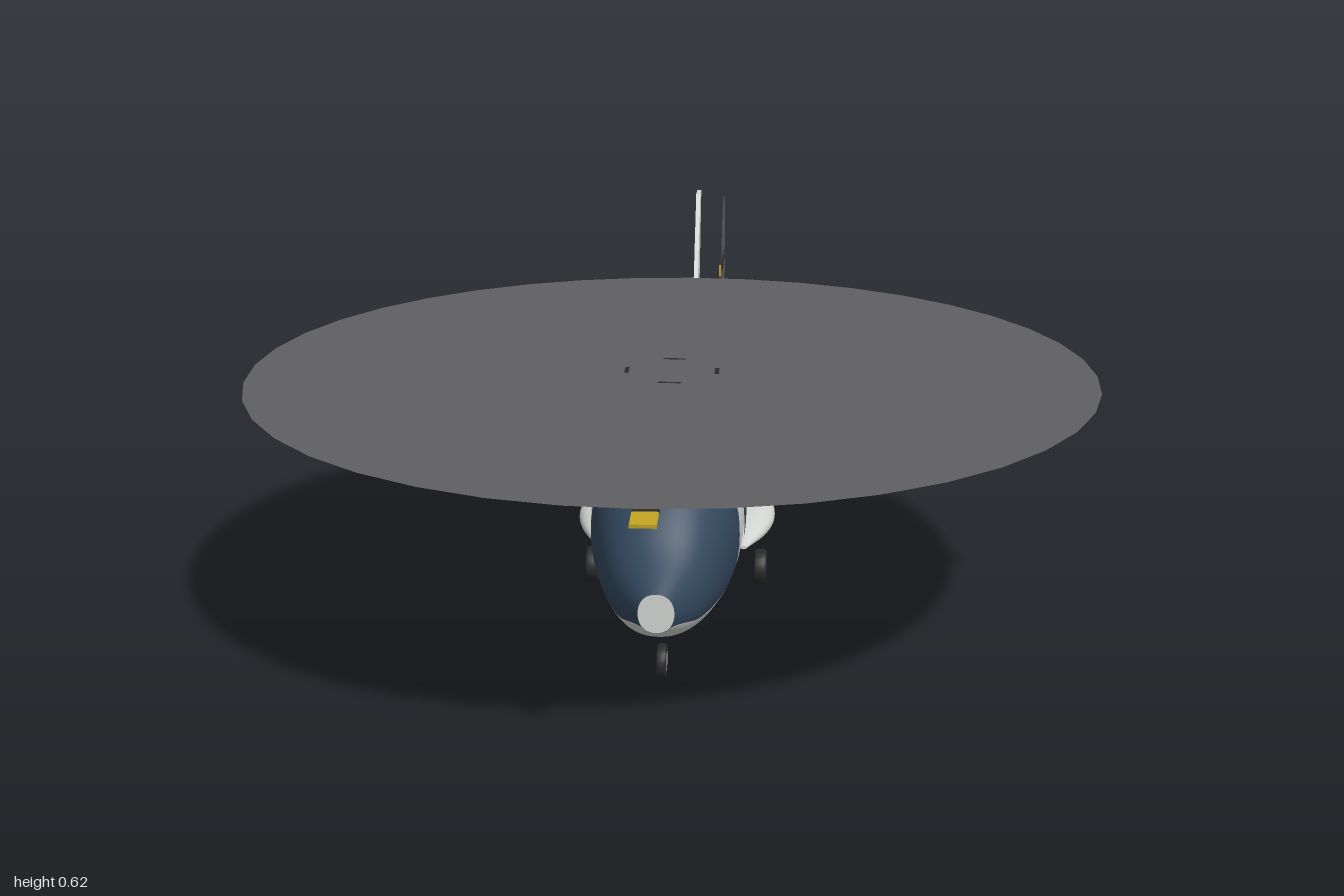
import * as THREE from 'three';
import { ParametricGeometry } from 'three/addons/geometries/ParametricGeometry.js';

const mat = (name, color, side = THREE.FrontSide) => {
  const m = new THREE.MeshStandardMaterial({ color, side });
  m.name = name;
  return m;
};

export function createModel() {
  const model = new THREE.Group();
  model.name = 'helicopter';
  const paint = mat('light grey paint', 0xd4d6d2);
  const glass = mat('dark blue glass', 0x33475d);
  const blur = mat('rotor disc grey', 0x606062, THREE.DoubleSide);
  const black = mat('black', 0x2a2a2a);
  const yellow = mat('tip yellow', 0xc4a422);

  const add = (name, geometry, material, parent = model) => {
    const mesh = new THREE.Mesh(geometry, material);
    mesh.name = name;
    parent.add(mesh);
    return mesh;
  };

  // A smooth body through cross-sections: rows of [z, bottom, top, halfWidth, centreX]
  const makeBody = (rows, power = 2) => {
    const interp = new THREE.CubicInterpolant(
      rows.map(r => r[0]), rows.flatMap(r => [r[1], r[2], r[3], r[4] ?? 0]), 4, new Float64Array(4));
    const root = s => Math.sign(s) * Math.abs(s) ** (2 / power);
    const at = z => {
      const [y0, y1, w, cx] = interp.evaluate(z);
      return { mid: (y0 + y1) / 2, h: (y1 - y0) / 2, w, cx };
    };
    return {
      z0: rows[0][0], z1: rows[rows.length - 1][0], at,
      point(z, a, out) {
        const s = at(z);
        return out.set(s.cx + s.w * root(Math.cos(a)), s.mid + s.h * root(Math.sin(a)), z);
      },
      // angle on the +x side where the section reaches height y
      angleAt(z, y) {
        const s = at(z);
        const k = THREE.MathUtils.clamp((y - s.mid) / s.h, -1, 1);
        return Math.asin(Math.sign(k) * Math.abs(k) ** (power / 2));
      },
    };
  };
  const skin = (body, za, zb, from, to, nu = 40, nv = 24) =>
    new ParametricGeometry((u, v, out) => {
      const z = za + (zb - za) * v;
      body.point(z, from(z) + (to(z) - from(z)) * u, out);
    }, nu, nv);
  const fullSkin = (body, za = body.z0, zb = body.z1) =>
    skin(body, za, zb, () => 0, () => Math.PI * 2);
  const cap = (body, z, front) =>
    new ParametricGeometry((u, v, out) => {
      const s = body.at(z);
      const k = 0.001 + 0.999 * (front ? 1 - v : v);
      body.point(z, u * Math.PI * 2, out);
      out.set(s.cx + (out.x - s.cx) * k, s.mid + (out.y - s.mid) * k, z);
    }, 40, 1);
  const closedBody = (name, rows) => {
    const body = makeBody(rows);
    const group = new THREE.Group();
    group.name = name;
    add(name + 'Skin', fullSkin(body), paint, group);
    add(name + 'RearCap', cap(body, body.z0, false), paint, group);
    add(name + 'FrontCap', cap(body, body.z1, true), paint, group);
    model.add(group);
  };

  // Fuselage with windscreen
  const hull = makeBody([
    [-0.14, 0.18, 0.372, 0.088], [-0.07, 0.137, 0.39, 0.115], [0.035, 0.1, 0.4, 0.132],
    [0.25, 0.07, 0.407, 0.14], [0.43, 0.074, 0.405, 0.134], [0.517, 0.088, 0.374, 0.117],
    [0.57, 0.101, 0.331, 0.1], [0.625, 0.12, 0.277, 0.075], [0.697, 0.157, 0.226, 0.031],
  ], 2.2);
  const glassBack = 0.43;
  const sill = z => hull.angleAt(z, 0.15 + 0.017 * THREE.MathUtils.smoothstep(z, 0.6, 0.697));
  add('cabin', fullSkin(hull, hull.z0, glassBack), paint);
  add('chin', skin(hull, glassBack, hull.z1, z => Math.PI - sill(z), z => Math.PI * 2 + sill(z)), paint);
  add('windscreen', skin(hull, glassBack, hull.z1, sill, z => Math.PI - sill(z)), glass);
  add('noseCap', cap(hull, hull.z1, true), paint);
  add('cabinRear', cap(hull, hull.z0, false), paint);

  // Side windows, following the cabin wall
  for (const side of [1, -1]) {
    add(side > 0 ? 'leftWindow' : 'rightWindow', new ParametricGeometry((u, v, out) => {
      const z = 0.25 + 0.128 * (side > 0 ? v : 1 - v);
      hull.point(z, hull.angleAt(z, 0.217 + 0.134 * u), out);
      out.x = side * (out.x + 0.003);
    }, 8, 8), glass);
  }

  // Engine cowling and tail boom
  closedBody('engineCowling', [
    [-0.17, 0.365, 0.395, 0.04], [-0.1, 0.345, 0.418, 0.062], [0, 0.35, 0.434, 0.072],
    [0.1, 0.352, 0.44, 0.073], [0.2, 0.362, 0.434, 0.062], [0.28, 0.382, 0.42, 0.04],
    [0.33, 0.396, 0.406, 0.012],
  ]);
  closedBody('tailBoom', [
    [-0.875, 0.29, 0.325, 0.012], [-0.845, 0.278, 0.328, 0.018], [-0.7, 0.273, 0.33, 0.024],
    [-0.4, 0.261, 0.334, 0.035], [-0.1, 0.247, 0.339, 0.046],
  ]);

  // Side pods
  for (const side of [1, -1]) {
    closedBody(side > 0 ? 'leftPod' : 'rightPod', [
      [-0.14, 0.118, 0.146, 0.026, 0.14 * side], [-0.07, 0.108, 0.157, 0.04, 0.147 * side],
      [0.03, 0.105, 0.161, 0.045, 0.15 * side], [0.12, 0.115, 0.155, 0.035, 0.145 * side],
      [0.217, 0.132, 0.139, 0.006, 0.137 * side],
    ]);
  }

  // Fin and tailplane
  const plate = (points, depth) => new THREE.ExtrudeGeometry(
    new THREE.Shape(points.map(p => new THREE.Vector2(...p))), { depth, bevelEnabled: false }
  ).translate(0, 0, -depth / 2);
  add('fin', plate([[-0.725, 0.31], [-0.865, 0.31], [-0.99, 0.606], [-0.935, 0.606]], 0.01)
    .rotateY(-Math.PI / 2), paint);
  add('tailplane', plate([[-0.127, -0.608], [-0.127, -0.688], [0, -0.706], [0.127, -0.688],
    [0.127, -0.608], [0, -0.597]], 0.01).rotateX(Math.PI / 2).translate(0, 0.302, 0), paint);

  // Rotors: drooping blades with yellow tips under a thin swept disc
  const rotor = (name, { count, inner, tip, radius, chord, thick, droop, discRadius }) => {
    const group = new THREE.Group();
    group.name = name;
    const disc = new THREE.CircleGeometry(discRadius, 40).rotateX(-Math.PI / 2);
    add(name + 'Disc', disc, blur, group);
    for (let i = 0; i < count; i++) {
      const blade = new THREE.Group();
      blade.name = name + 'Blade';
      blade.rotation.set(droop, (i * Math.PI * 2) / count, 0, 'YXZ');
      const part = (label, a, b, m) => add(label,
        new THREE.BoxGeometry(chord, thick, b - a).translate(0, 0, (a + b) / 2), m, blade);
      part('bladeSpan', inner, tip, black);
      part('bladeTip', tip, radius, yellow);
      group.add(blade);
    }
    model.add(group);
    return group;
  };
  rotor('mainRotor', {
    count: 4, inner: 0.08, tip: 0.735, radius: 0.79, chord: 0.042, thick: 0.006,
    droop: 0.034, discRadius: 0.787,
  }).position.set(0, 0.482, 0.21);
  const tail = rotor('tailRotor', {
    count: 2, inner: 0.015, tip: 0.138, radius: 0.15, chord: 0.024, thick: 0.004,
    droop: 0.02, discRadius: 0.147,
  });
  tail.position.set(0.063, 0.47, -0.85);
  tail.rotation.z = -Math.PI / 2;

  // Wheels
  const wheel = (name, x, z, r, width) => {
    const group = new THREE.Group();
    group.name = name;
    const c = width / 2;
    const profile = [[r * 0.6, -c], [r * 0.9, -c], [r, -c * 0.6], [r, c * 0.6], [r * 0.9, c], [r * 0.6, c]];
    add('tyre', new THREE.LatheGeometry(profile.map(p => new THREE.Vector2(...p)), 24)
      .rotateZ(Math.PI / 2), black, group);
    add('wheelHub', new THREE.CylinderGeometry(r * 0.62, r * 0.62, width * 0.96, 24)
      .rotateZ(Math.PI / 2), paint, group);
    group.position.set(x, r, z);
    model.add(group);
    return group;
  };
  wheel('noseWheel', 0, 0.536, 0.031, 0.018).position.y = 0.037;
  wheel('leftWheel', 0.168, 0.053, 0.035, 0.025);
  wheel('rightWheel', -0.168, 0.053, 0.035, 0.025);

  return model;
}
